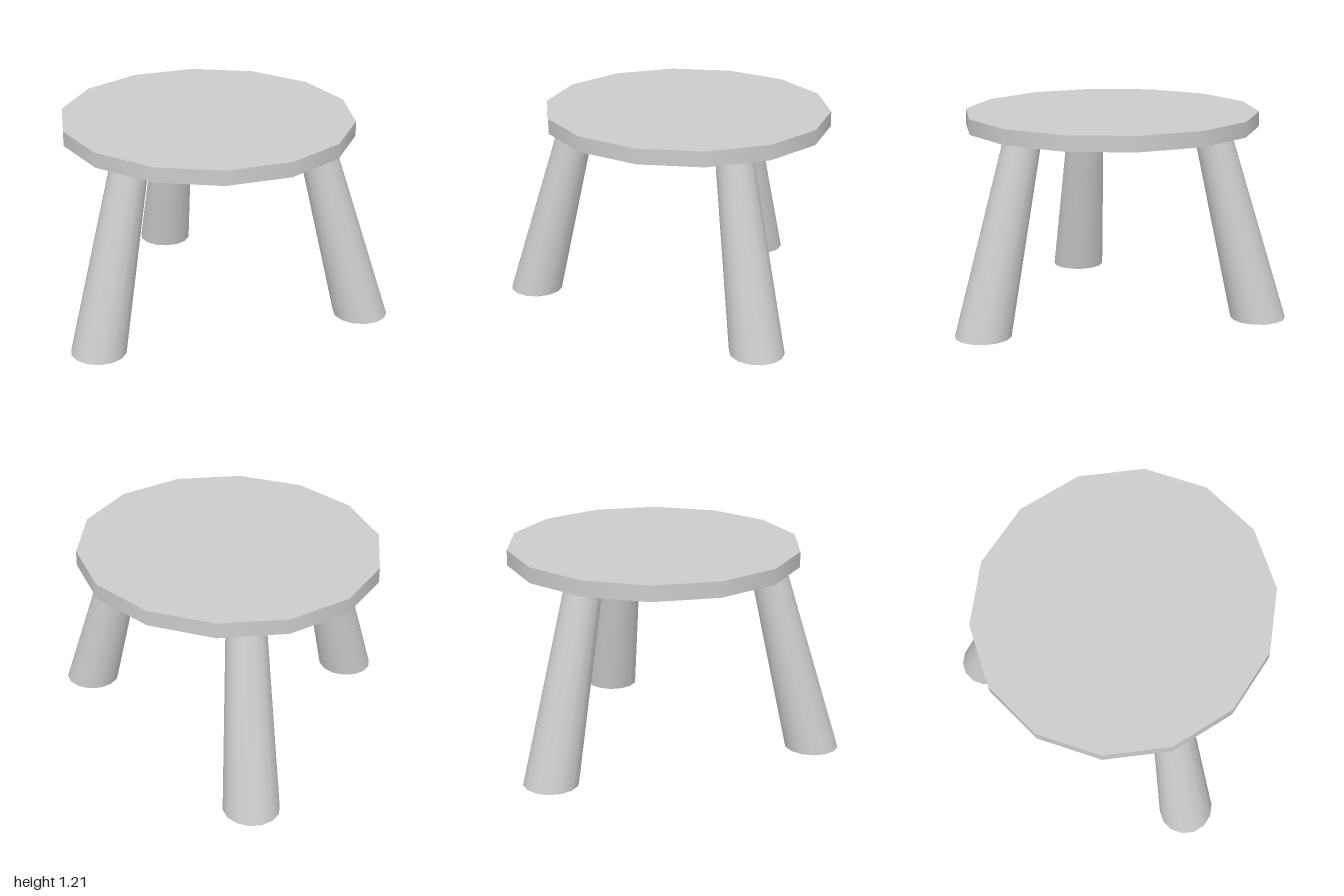
import * as THREE from 'three';

const SIDES = 14;
const SEAT_BOTTOM = 1.122;
const SEAT_TOP = 1.213;
const STRETCH_X = 1.036; // round parts are slightly wider across x

const material = new THREE.MeshStandardMaterial({ color: 0xcccccc });

// Tapered leg whose ends stay level while its axis leans from foot to seat
function makeLeg(name, [footX, footZ], [topX, topZ]) {
  const geometry = new THREE.CylinderGeometry(0.108, 0.16, SEAT_BOTTOM, SIDES);
  geometry.translate(0, SEAT_BOTTOM / 2, 0);
  geometry.scale(STRETCH_X, 1, 1);
  const shear = new THREE.Matrix4().set(
    1, (topX - footX) / SEAT_BOTTOM, 0, footX,
    0, 1, 0, 0,
    0, (topZ - footZ) / SEAT_BOTTOM, 1, footZ,
    0, 0, 0, 1
  );
  geometry.applyMatrix4(shear);
  const leg = new THREE.Mesh(geometry, material);
  leg.name = name;
  return leg;
}

export function createModel() {
  const stool = new THREE.Group();
  stool.name = 'stool';

  // Fourteen-sided seat disc
  const seatGeometry = new THREE.CylinderGeometry(0.861, 0.861, SEAT_TOP - SEAT_BOTTOM, SIDES);
  seatGeometry.scale(STRETCH_X, 1, 1);
  const seat = new THREE.Mesh(seatGeometry, material);
  seat.name = 'seat';
  seat.position.set(-0.13, (SEAT_TOP + SEAT_BOTTOM) / 2, -0.089);
  stool.add(seat);

  // Three splayed legs
  stool.add(
    makeLeg('leftLeg', [0.837, -0.183], [0.53, -0.141]),
    makeLeg('frontLeg', [-0.49, 0.8], [-0.373, 0.53]),
    makeLeg('backLeg', [-0.708, -0.8], [-0.52, -0.562])
  );
  return stool;
}
